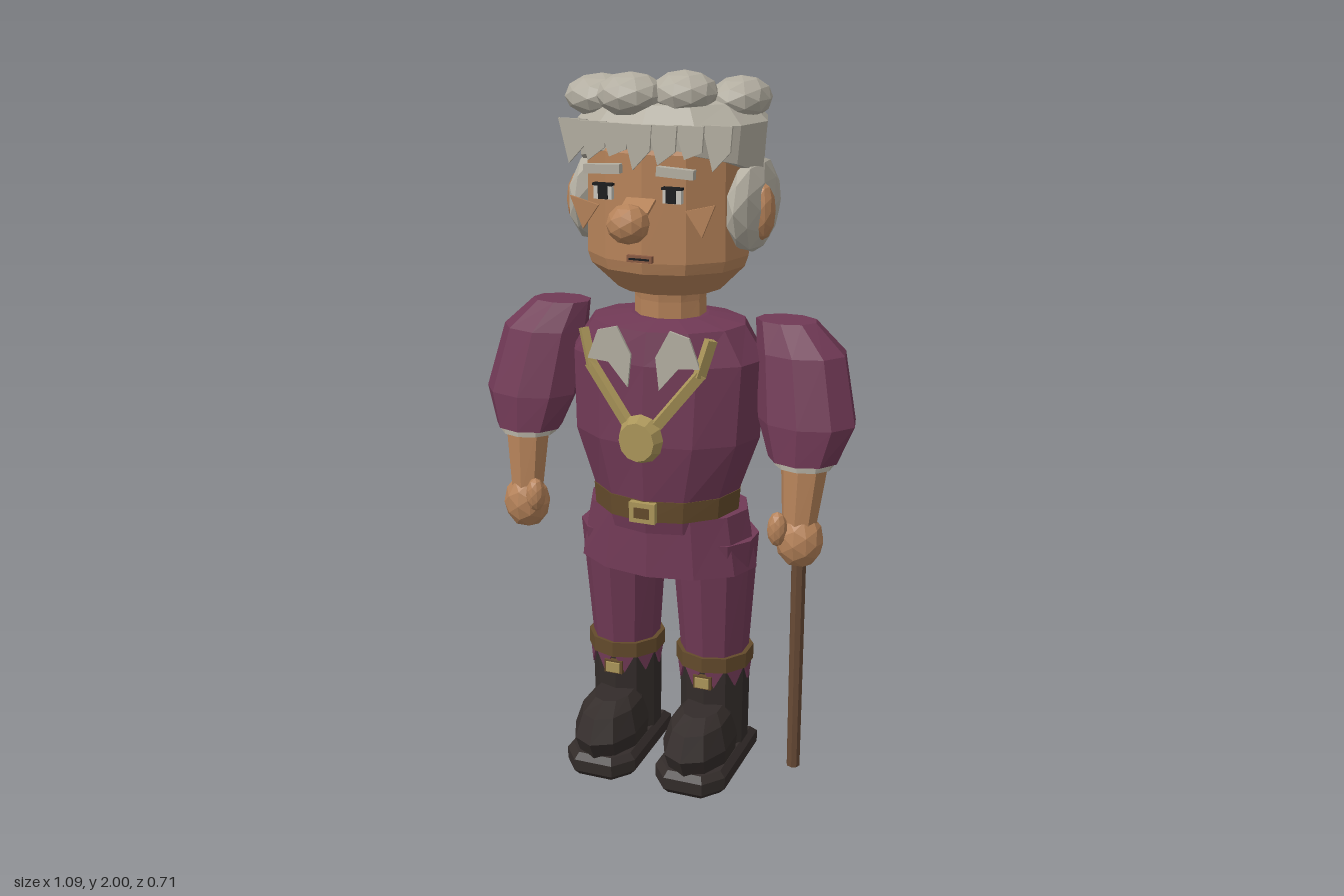
import * as THREE from 'three';

const mat = (name, color) => {
  const m = new THREE.MeshStandardMaterial({ color, side: THREE.DoubleSide });
  m.name = name;
  return m;
};

export function createModel() {
  const root = new THREE.Group();
  root.name = 'elderFigure';
  const skin = mat('skin', 0xb58259), hair = mat('greyHair', 0xb3aea1), cloth = mat('plumCloth', 0x703955),
    boot = mat('bootLeather', 0x332c2a), belt = mat('beltLeather', 0x634a2b), gold = mat('gold', 0xab965a),
    wood = mat('caneWood', 0x674a35), dark = mat('pupilBlack', 0x191a1c), white = mat('eyeWhite', 0xc9c6bd),
    lip = mat('lip', 0x8a5a42);

  // Faceted mesh from any geometry
  const add = (name, geo, material, parent = root) => {
    const g = geo.index ? geo.toNonIndexed() : geo;
    g.computeVertexNormals();
    const m = new THREE.Mesh(g, material);
    m.name = name;
    parent.add(m);
    return m;
  };
  // Elliptical rings from top to bottom: [y, rx, rz, cx, cz]
  const loft = (name, material, rings, n = 12, open = false) => {
    const g = new THREE.CylinderGeometry(1, 1, 1, n, rings.length - 1, open);
    const p = g.attributes.position;
    for (let i = 0; i < p.count; i++) {
      const [y, rx, rz, cx = 0, cz = 0] = rings[Math.round((0.5 - p.getY(i)) * (rings.length - 1))];
      p.setXYZ(i, cx + p.getX(i) * rx, y, cz + p.getZ(i) * rz);
    }
    return add(name, g, material);
  };
  const ball = (name, material, pos, size, detail = 1) => {
    const m = add(name, new THREE.IcosahedronGeometry(1, detail), material);
    m.position.set(...pos);
    m.scale.set(...size);
    return m;
  };
  const box = (name, material, pos, size) => {
    const m = add(name, new THREE.BoxGeometry(...size), material);
    m.position.set(...pos);
    return m;
  };
  // Thin flat plate from outline points
  const plate = (name, material, pts, z, depth = 0.008) => {
    const s = new THREE.Shape(pts.map(([x, y]) => new THREE.Vector2(x, y)));
    const m = add(name, new THREE.ExtrudeGeometry(s, { depth, bevelEnabled: false }), material);
    m.position.z = z;
    return m;
  };
  // Flat strap between two points
  const strap = (name, material, a, b, w, d) => {
    const A = new THREE.Vector3(...a), B = new THREE.Vector3(...b);
    const m = add(name, new THREE.BoxGeometry(w, A.distanceTo(B) + w * 0.4, d), material);
    m.position.copy(A).lerp(B, 0.5);
    m.quaternion.setFromUnitVectors(new THREE.Vector3(0, 1, 0), B.sub(A).normalize());
  };

  // Body and tunic
  loft('torso', cloth, [
    [1.345, 0.11, 0.1], [1.33, 0.22, 0.17, 0, 0.01], [1.24, 0.28, 0.185, 0, 0.015], [1.02, 0.27, 0.195, 0, 0.022],
    [0.84, 0.205, 0.185, 0, 0.017], [0.76, 0.2, 0.175, 0, 0.015]]);
  loft('belt', belt, [[0.86, 0.215, 0.19, 0, 0.017], [0.8, 0.21, 0.19, 0, 0.017]]);
  loft('tunicSkirt', cloth, [[0.8, 0.235, 0.168, 0, 0.012], [0.63, 0.265, 0.18, 0, 0.012]]);
  box('beltBuckle', gold, [0, 0.83, 0.21], [0.075, 0.058, 0.02]);
  box('buckleCentre', belt, [0, 0.83, 0.219], [0.045, 0.03, 0.008]);

  // Neck and head
  loft('neck', skin, [[1.43, 0.1, 0.095], [1.39, 0.098, 0.09], [1.32, 0.1, 0.09]], 10);
  loft('head', skin, [
    [1.88, 0.2, 0.17, 0, 0], [1.8, 0.222, 0.195, 0, 0.01], [1.52, 0.225, 0.2, 0, 0.01], [1.49, 0.215, 0.193, 0, 0.01],
    [1.42, 0.145, 0.125, 0, 0.005]]);

  // Facial features
  ball('nose', skin, [0, 1.64, 0.297], [0.056, 0.052, 0.054]);
  const bridge = box('noseBridge', skin, [0, 1.675, 0.235], [0.08, 0.008, 0.06]);
  bridge.rotation.x = 0.45;
  box('mouth', lip, [0, 1.535, 0.22], [0.07, 0.018, 0.012]);
  box('mouthLine', dark, [0, 1.535, 0.225], [0.055, 0.005, 0.008]);
  for (const s of [-1, 1]) {
    box('eye', white, [0.095 * s, 1.705, 0.23], [0.05, 0.036, 0.016]);
    box('pupil', dark, [0.093 * s, 1.705, 0.237], [0.026, 0.034, 0.01]);
    box('eyelid', dark, [0.095 * s, 1.725, 0.232], [0.054, 0.006, 0.02]);
    const brow = box('eyebrow', hair, [0.1 * s, 1.763, 0.222], [0.1, 0.024, 0.022]);
    brow.rotation.z = -0.05 * s;
    plate('cheekCrease', skin, [[0.12 * s, 1.665], [0.2 * s, 1.685], [0.165 * s, 1.6]], 0.2);
    ball('ear', skin, [0.262 * s, 1.64, 0.01], [0.034, 0.077, 0.042]);
    ball('sideHair', hair, [0.222 * s, 1.65, -0.035], [0.056, 0.13, 0.17]);
  }

  // Hair cap with a hairline that drops toward the back
  const cap = loft('hairCap', hair, [
    [1.94, 0.09, 0.08, 0, -0.02], [1.92, 0.21, 0.185, 0, -0.02], [1.87, 0.262, 0.222, 0, -0.02],
    [1.75, 0.252, 0.215, 0, -0.015]], 12);
  const cp = cap.geometry.attributes.position;
  for (let i = 0; i < cp.count; i++) {
    if (cp.getY(i) < 1.76) cp.setY(i, 1.74 + cp.getZ(i) * 0.35);
  }
  cap.geometry.computeVertexNormals();
  ball('hairBun', hair, [0, 1.81, -0.22], [0.137, 0.132, 0.135]);
  const curls = [[-0.175, 1.925, 0.045, 0.1, 0.1], [-0.06, 1.94, 0.125, 0.09, 0.09],
    [0.07, 1.945, 0.08, 0.088, 0.088], [0.185, 1.925, -0.03, 0.08, 0.11]];
  for (const [x, y, z, rx, rz] of curls) ball('topCurl', hair, [x, y, z], [rx, 0.058, rz]);
  // Jagged fringe
  for (let i = 0; i < 7; i++) {
    const x = -0.2 + i * 0.066, z = 0.225 - 1.2 * x * x;
    const lock = plate('fringeLock', hair, [[x - 0.04, 1.88], [x + 0.04, 1.88], [x + 0.035, 1.815],
      [x - 0.012, 1.765 + (i % 3) * 0.015]], z);
    lock.rotation.y = 0;
  }

  for (const s of [-1, 1]) {
    // Collar and chain
    plate('collarPoint', hair, [[0.075 * s, 1.345], [0.13 * s, 1.33], [0.16 * s, 1.25], [0.1 * s, 1.245],
      [0.045 * s, 1.18], [0.035 * s, 1.27]], 0.196);
    strap('chain', gold, [0.18 * s, 1.32, 0.178], [0.155 * s, 1.23, 0.19], 0.028, 0.022);
    strap('chain', gold, [0.155 * s, 1.23, 0.19], [0.03 * s, 1.07, 0.217], 0.028, 0.022);

    // Puffed sleeve, cuff, forearm and hand
    loft('sleeve', cloth, [
      [1.35, 0.085, 0.06, 0.33 * s, -0.01], [1.27, 0.125, 0.095, 0.377 * s, 0],
      [1.09, 0.137, 0.105, 0.408 * s, 0.035], [0.99, 0.097, 0.082, 0.408 * s, 0.065]], 9);
    loft('cuff', hair, [[1.0, 0.086, 0.07, 0.41 * s, 0.065], [0.972, 0.08, 0.068, 0.41 * s, 0.068]], 10);
    loft('forearm', skin, [[1.0, 0.068, 0.06, 0.412 * s, 0.065], [0.8, 0.047, 0.045, 0.407 * s, 0.09]], 8);
    ball('hand', skin, [0.41 * s, 0.765, 0.09], [0.067, 0.08, 0.064]);
    ball('thumb', skin, [0.36 * s, 0.805, 0.135], [0.028, 0.05, 0.028]);

    // Trousers, garter and boot
    const x = 0.138 * s;
    loft('trouserLeg', cloth, [[0.72, 0.125, 0.125, x, 0.01], [0.33, 0.096, 0.1, x, 0]], 10);
    loft('garter', belt, [[0.365, 0.112, 0.112, x, 0], [0.32, 0.112, 0.112, x, 0]], 10);
    loft('bootShaft', boot, [[0.325, 0.102, 0.098, x, -0.002], [0.06, 0.098, 0.095, x, -0.005]], 10);
    for (let i = 0; i < 10; i++) {
      // Pointed trouser hem over the boot
      const tooth = plate('hemPoint', cloth, [[-0.03, 0.325], [0.03, 0.325], [0, 0.27]], 0.098, 0.006);
      const pivot = new THREE.Group();
      pivot.name = 'hem';
      pivot.position.x = x;
      pivot.rotation.y = (i + 0.5) * Math.PI / 5;
      pivot.add(tooth);
      root.add(pivot);
    }
    box('bootBuckleStrap', belt, [x, 0.287, 0.102], [0.055, 0.04, 0.014]);
    box('bootBuckle', gold, [x, 0.287, 0.109], [0.042, 0.03, 0.012]);
    loft('bootToe', boot, [
      [0.21, 0.055, 0.08, x, 0.1], [0.185, 0.08, 0.135, x, 0.115], [0.12, 0.1, 0.165, x, 0.12],
      [0.06, 0.092, 0.145, x, 0.11]], 10);
    const sole = new THREE.Shape([[-0.09, 0.07], [0.09, 0.07], [0.09, -0.2], [0.05, -0.25], [-0.05, -0.25], [-0.09, -0.2]]
      .map(([a, b]) => new THREE.Vector2(a, b)));
    const soleMesh = add('bootSole', new THREE.ExtrudeGeometry(sole,
      { depth: 0.035, bevelThickness: 0.018, bevelSize: 0.016, bevelSegments: 1 }), boot);
    soleMesh.rotation.x = -Math.PI / 2;
    soleMesh.position.set(x, 0.018, 0);
  }

  // Medallion
  const medal = add('medallion', new THREE.CylinderGeometry(0.05, 0.064, 0.035, 12), gold);
  medal.rotation.x = Math.PI / 2;
  medal.scale.z = 1.08;
  medal.position.set(0, 1.045, 0.238);

  // Walking cane in the left hand
  loft('cane', wood, [[0.78, 0.021, 0.021, 0.41, 0.09], [0.07, 0.019, 0.019, 0.41, 0.09]], 8);
  return root;
}
